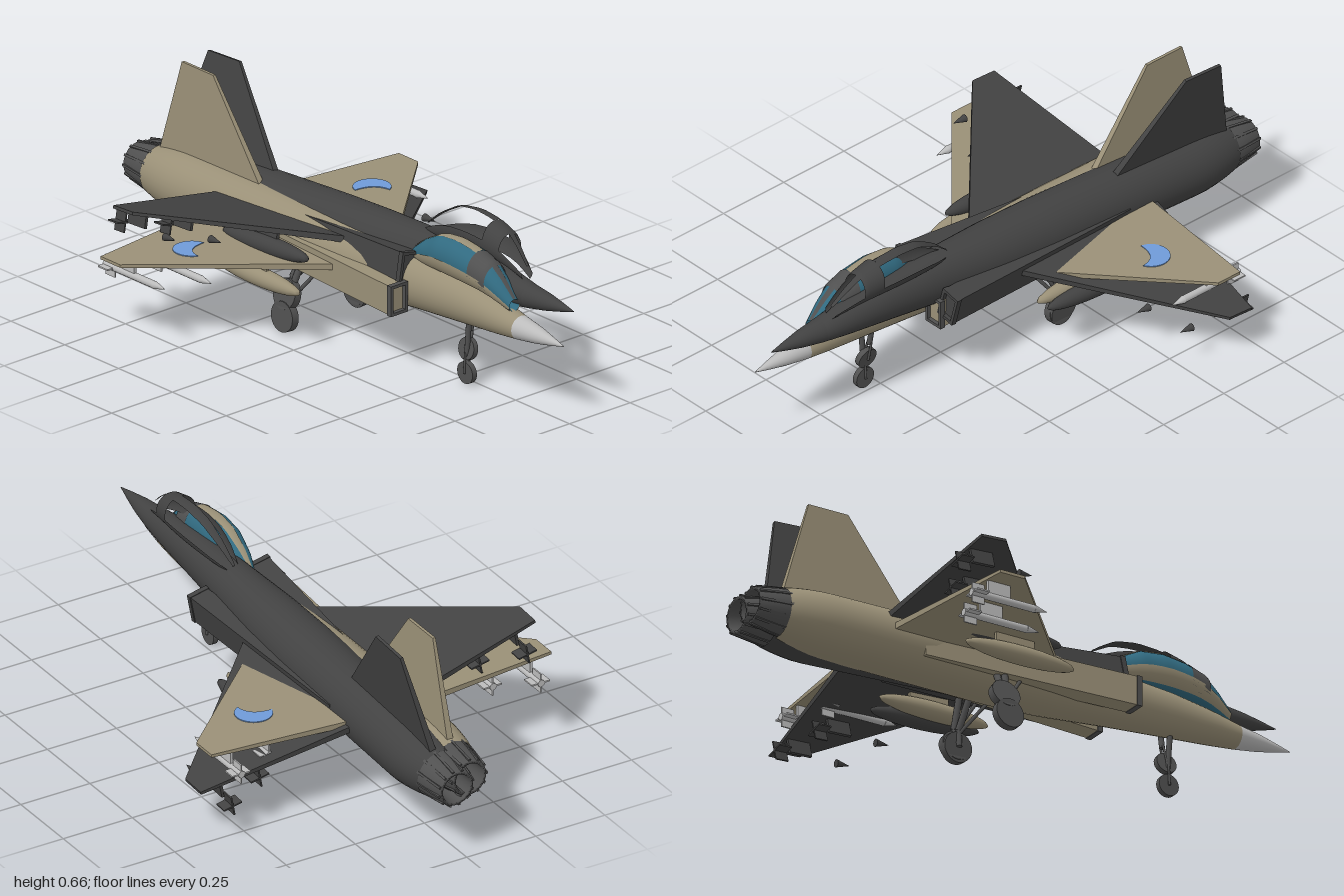
import * as THREE from 'three';

const mat = (name, color) => new THREE.MeshStandardMaterial({ name, color, side: THREE.DoubleSide });
const M = {
  sand: mat('sand', 0x9a9077),
  dark: mat('charcoal', 0x424242),
  gear: mat('gunmetal', 0x505050),
  light: mat('light grey', 0xbcbcbc),
  glass: mat('teal glass', 0x316a80),
  blue: mat('wing blue', 0x6f9bd8),
};
const lerp = THREE.MathUtils.lerp;
const SIDES = [1, -1];

function add(parent, name, geo, material) {
  const m = new THREE.Mesh(geo, material);
  m.name = name;
  parent.add(m);
  return m;
}

// Rows of [z, half width, top y, bottom y], interpolated between z0 and z1
function rows(table, z0, z1, n, grow = 0) {
  return Array.from({ length: n + 1 }, (_, k) => {
    const z = lerp(z0, z1, k / n);
    let i = 0;
    while (i < table.length - 2 && z < table[i + 1][0]) i++;
    const a = table[i], b = table[i + 1], t = (z - a[0]) / (b[0] - a[0]);
    return [z, lerp(a[1], b[1], t) + grow, lerp(a[2], b[2], t) + grow, lerp(a[3], b[3], t) - grow];
  });
}

// Skin over elliptical rows; angles are measured from the top in degrees
function loft(list, a0 = -180, a1 = 180, n = 32) {
  const closed = a1 - a0 === 360, cols = closed ? n : n + 1, pos = [], idx = [];
  for (const [z, rx, top, bot] of list)
    for (let j = 0; j < cols; j++) {
      const a = THREE.MathUtils.degToRad(lerp(a0, a1, j / n));
      pos.push(rx * Math.sin(a), (top + bot) / 2 + (top - bot) / 2 * Math.cos(a), z);
    }
  for (let i = 0; i < list.length - 1; i++)
    for (let j = 0; j < n; j++) {
      const p = i * cols + j, q = i * cols + (j + 1) % cols;
      idx.push(p, q, p + cols, q, q + cols, p + cols);
    }
  const g = new THREE.BufferGeometry();
  g.setAttribute('position', new THREE.Float32BufferAttribute(pos, 3));
  g.setIndex(idx);
  g.computeVertexNormals();
  return g;
}

// Box whose corners are moved by f(u, v, w), each 0..1; s = -1 mirrors it in x
function block(f, s = 1) {
  const g = new THREE.BoxGeometry(1, 1, 1).toNonIndexed(), p = g.attributes.position;
  for (let i = 0; i < p.count; i++) {
    const u = p.getX(i) * s + 0.5;
    const [x, y, z] = f(u, p.getY(i) + 0.5, p.getZ(i) + 0.5);
    p.setXYZ(i, x * s, y, z);
  }
  g.computeVertexNormals();
  return g;
}

function strut(a, b, r) {
  const A = new THREE.Vector3(...a), B = new THREE.Vector3(...b), d = B.clone().sub(A);
  const g = new THREE.CylinderGeometry(r, r, d.length(), 10);
  g.applyQuaternion(new THREE.Quaternion().setFromUnitVectors(new THREE.Vector3(0, 1, 0), d.normalize()));
  const c = A.add(B).multiplyScalar(0.5);
  return g.translate(c.x, c.y, c.z);
}

const BODY = [[0.8, 0.04, 0.04, -0.038], [0.7, 0.052, 0.062, -0.048], [0.55, 0.063, 0.085, -0.06],
  [0.35, 0.077, 0.1, -0.076], [0.1, 0.098, 0.106, -0.1], [-0.1, 0.105, 0.107, -0.108],
  [-0.74, 0.103, 0.099, -0.106], [-0.82, 0.094, 0.092, -0.096], [-0.88, 0.08, 0.08, -0.082]];
const NOSE = [[1, 0.001, 0.001, -0.001], [0.95, 0.013, 0.013, -0.013], [0.88, 0.028, 0.028, -0.027], [0.8, 0.04, 0.04, -0.038]];
const CANOPY = [[0.77, 0.02, 0.085, 0.045], [0.72, 0.035, 0.135, 0.06], [0.67, 0.046, 0.175, 0.072], [0.6, 0.054, 0.198, 0.078],
  [0.52, 0.056, 0.208, 0.08], [0.44, 0.05, 0.2, 0.08], [0.36, 0.034, 0.158, 0.08], [0.3, 0.012, 0.108, 0.08]];

function missile(parent, x, y, nose, paint, hasBody) {
  const g = new THREE.Group();
  g.name = 'missile';
  g.position.set(x, y, nose);
  add(g, 'missileNose', new THREE.ConeGeometry(0.013, 0.05, 12).rotateX(Math.PI / 2).translate(0, 0, -0.025), paint);
  if (hasBody) add(g, 'missileBody', new THREE.CylinderGeometry(0.012, 0.012, 0.23, 12).rotateX(Math.PI / 2).translate(0, 0, -0.165), paint);
  for (const turn of [0, Math.PI / 2])
    add(g, 'missileFins', new THREE.BoxGeometry(0.066, 0.005, 0.045).rotateZ(turn).translate(0, 0, -0.255), paint);
  add(g, 'missilePylon', new THREE.BoxGeometry(0.01, 0.05, 0.08).translate(0, 0.028, -0.18), paint);
  parent.add(g);
}

function jet(name, paint, trim, nosePaint, glazed) {
  const g = new THREE.Group();
  g.name = name;

  // Fuselage, nose cone and nozzle
  add(g, 'fuselage', loft(rows(BODY, 0.8, -0.88, 40)), paint);
  add(g, 'noseCone', loft(rows(NOSE, 1, 0.8, 14)), nosePaint);
  const ring = (z, r) => [z, r, r, -r];
  add(g, 'nozzle', loft([ring(-0.86, 0.08), ring(-0.91, 0.074), ring(-0.98, 0.06), ring(-0.98, 0.05),
    ring(-0.89, 0.045), ring(-0.89, 0.001)], -180, 180, 18), M.gear);
  for (let i = 0; i < 12; i++)
    add(g, 'nozzleRib', new THREE.BoxGeometry(0.008, 0.007, 0.11).rotateX(-0.15)
      .translate(0, 0.07, -0.925).rotateZ(i * Math.PI / 6), M.gear);

  // Canopy glass and its frame
  if (glazed) add(g, 'canopyGlass', loft(rows(CANOPY, 0.77, 0.3, 30)), M.glass);
  const frame = (n, z0, z1, a0, a1, m) => add(g, n, loft(rows(CANOPY, z0, z1, 12, 0.003), a0, a1, 20), m);
  frame('canopyBow', 0.68, 0.61, -140, 140, trim);
  frame('canopySpine', 0.61, 0.3, -17, 17, paint);
  frame('windshieldPost', 0.77, 0.68, -14, 14, trim);
  for (const s of SIDES) frame('canopySill', 0.77, 0.3, s * 115 - 25, s * 115 + 25, paint);

  // Tail fin
  add(g, 'tailFin', block((u, v, w) => [(u - 0.5) * lerp(0.022, 0.01, v), lerp(0.08, 0.395, v),
    lerp(lerp(-0.865, -0.77, v), lerp(-0.39, -0.625, v), w)]), paint);

  for (const s of SIDES) {
    // Delta wing
    add(g, 'wing', block((u, v, w) => [lerp(0.05, 0.615, u), 0.008 + (v - 0.5) * lerp(0.022, 0.01, u),
      lerp(lerp(-0.52, -0.46, u), lerp(0.14, -0.37, u), w)], s), paint);

    // Air intake with a framed mouth
    add(g, 'intake', block((u, v, w) => [lerp(lerp(0.03, 0.08, w), lerp(0.1, 0.145, w), u),
      lerp(-0.06, 0.037, v), lerp(-0.4, 0.35, w)], s), paint);
    const lip = new THREE.Shape([[0.078, -0.062], [0.148, -0.062], [0.148, 0.039], [0.078, 0.039]]
      .map(([x, y]) => new THREE.Vector2(x * s, y)));
    lip.holes.push(new THREE.Path([[0.088, -0.052], [0.138, -0.052], [0.138, 0.029], [0.088, 0.029]]
      .map(([x, y]) => new THREE.Vector2(x * s, y))));
    add(g, 'intakeLip', new THREE.ExtrudeGeometry(lip, { depth: 0.018, bevelEnabled: false }).translate(0, 0, 0.345), trim);

    // Missiles and drop tank under the wing
    const arms = glazed ? M.light : paint;
    missile(g, s * 0.542, -0.05, -0.24, arms, glazed);
    missile(g, s * 0.405, -0.05, -0.18, arms, glazed);
    add(g, 'dropTank', new THREE.SphereGeometry(1, 20, 14).scale(0.031, 0.031, 0.2)
      .translate(s * 0.245, -0.056, -0.15), paint);
    add(g, 'tankPylon', new THREE.BoxGeometry(0.012, 0.05, 0.14).translate(s * 0.245, -0.015, -0.17), paint);

    // Main landing gear
    add(g, 'mainStrut', strut([s * 0.135, -0.16, -0.13], [s * 0.095, -0.04, -0.11], 0.011), M.gear);
    add(g, 'mainBrace', strut([s * 0.13, -0.17, -0.13], [s * 0.09, -0.06, -0.05], 0.006), M.gear);
    add(g, 'mainFork', strut([s * 0.13, -0.215, -0.13], [s * 0.135, -0.15, -0.13], 0.009), M.gear);
    add(g, 'mainWheel', new THREE.CylinderGeometry(0.05, 0.05, 0.026, 24).rotateZ(Math.PI / 2 + s * 0.08)
      .translate(s * 0.148, -0.214, -0.13), M.gear);

    // Painted blue wing patch
    if (glazed) {
      const patch = new THREE.Shape();
      patch.absarc(0, 0, 0.06, -1.15, 2.95, false);
      patch.quadraticCurveTo(0.02, 0.012, 0.0245, -0.0548);
      const pts = patch.getPoints(20).map((p) => new THREE.Vector2(p.x * s, p.y));
      add(g, 'wingPatch', new THREE.ExtrudeGeometry(new THREE.Shape(pts), { depth: 0.003, bevelEnabled: false })
        .rotateX(-Math.PI / 2).translate(s * 0.371, 0.0155, -0.31), M.blue);
    }
  }

  // Nose gear
  add(g, 'noseStrut', strut([0, -0.17, 0.55], [0, -0.04, 0.56], 0.009), M.gear);
  for (const s of SIDES) add(g, 'noseFork', strut([s * 0.012, -0.23, 0.55], [s * 0.007, -0.16, 0.55], 0.004), M.gear);
  add(g, 'noseWheel', new THREE.CylinderGeometry(0.036, 0.036, 0.018, 24).rotateZ(Math.PI / 2).translate(0, -0.228, 0.55), M.gear);
  return g;
}

export function createModel() {
  const model = new THREE.Group();
  model.name = 'pairedJets';

  // Level sand jet
  const sand = jet('sandJet', M.sand, M.gear, M.light, true);
  sand.position.set(-0.023, 0.265, 0);

  // Banked charcoal jet with an open canopy frame
  const dark = jet('charcoalJet', M.dark, M.dark, M.dark, false);
  dark.position.set(0.033, 0.305, -0.015);
  dark.rotation.set(-0.056, 0, -0.213);

  model.add(sand, dark);
  return model;
}
